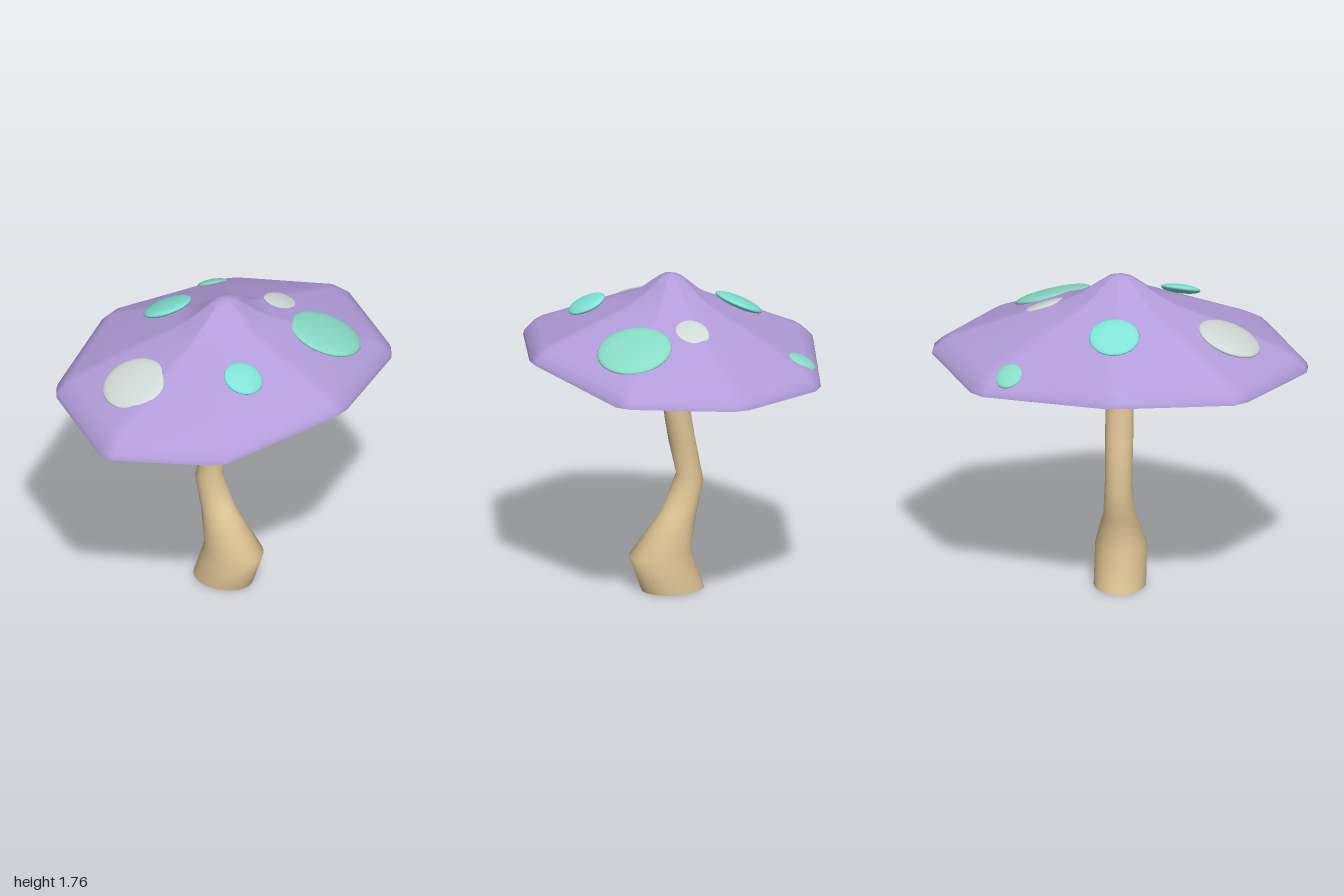
import * as THREE from 'three';

const mat = (color) => new THREE.MeshStandardMaterial({ color, roughness: 0.8 });

// Skin a list of closed rings (ordered from the bottom up) with smooth normals
function loft(rings) {
  const n = rings[0].length, index = [];
  for (let i = 0; i < rings.length - 1; i++) {
    for (let j = 0; j < n; j++) {
      const k = (j + 1) % n;
      const a = i * n + j, b = i * n + k, c = a + n, d = b + n;
      index.push(a, c, b, b, c, d);
    }
  }
  const g = new THREE.BufferGeometry();
  g.setAttribute('position', new THREE.Float32BufferAttribute(rings.flat(2), 3));
  g.setIndex(index);
  g.computeVertexNormals();
  return g;
}

// Rim of the cap: eight corners, each bevelled into two points [x, y, z]
const MID = 1.285;
const corners = [
  [1.025, 1.29, 0.01], [0.72, 1.285, 0.585], [0, 1.355, 0.815], [-0.735, 1.285, 0.55],
  [-1.025, 1.25, -0.01], [-0.705, 1.268, -0.605], [0, 1.3, -0.818], [0.735, 1.26, -0.56],
];
const rim = corners.flatMap((c, i) => {
  const v = new THREE.Vector3(...c);
  return [corners[(i + 7) % 8], corners[(i + 1) % 8]].map((o) => {
    const dir = new THREE.Vector3(...o).sub(v).setY(0).normalize();
    return v.clone().addScaledVector(dir, 0.05).toArray();
  });
});

// A scaled copy of the rim at height y; the rim's waviness fades to the centre
const capRing = ([s, y]) => rim.map(([x, ry, z]) => [x * s, y + (ry - MID) * s * s, z * s]);

// The underside hangs lower in one swelling behind the stem
const underRing = (r) => capRing(r).map(([x, y, z]) =>
  [x, y - 0.045 * Math.exp(-(x * x + (z + 0.28) ** 2) / 0.025), z]);

// Stem: rings of [y, z centre, x radius, z radius, tilt]
const stemRings = [
  [0, -0.008, 0.14, 0.172, 0], [0.21, 0.065, 0.138, 0.17, -0.07],
  [0.42, -0.045, 0.085, 0.092, 0.18], [0.612, -0.107, 0.073, 0.073, 0.3],
  [0.83, -0.06, 0.075, 0.07, -0.15], [1.07, -0.02, 0.076, 0.07, -0.1],
  [1.36, -0.012, 0.076, 0.073, 0],
];
const SIDES = 28;
const stemRing = ([y, zc, rx, rz, tilt]) => Array.from({ length: SIDES }, (_, j) => {
  const a = (j / SIDES) * Math.PI * 2, dz = Math.sin(a) * rz;
  return [Math.cos(a) * rx, y + dz * tilt, zc + dz];
});

export function createModel() {
  const group = new THREE.Group();
  const add = (name, geometry, material, parent = group) => {
    const m = new THREE.Mesh(geometry, material);
    m.name = name;
    parent.add(m);
    return m;
  };
  const stemMat = mat(0xdfc595), capMat = mat(0xb39ddb);

  // Bent stem with a flat base
  add('stem', loft(stemRings.map(stemRing)), stemMat);
  const base = add('stemBase', new THREE.CircleGeometry(1, SIDES), stemMat);
  base.rotation.x = Math.PI / 2;
  base.scale.set(0.14, 0.172, 1);
  base.position.z = -0.008;

  // Cap: pointed top with a bevelled edge, shallow hollow underside
  const cap = new THREE.Group();
  cap.name = 'cap';
  group.add(cap);
  add('capTop', loft([
    [1, MID], [0.992, 1.312], [0.95, 1.352], [0.9, 1.38], [0.7, 1.458], [0.5, 1.534],
    [0.3, 1.602], [0.2, 1.655], [0.12, 1.712], [0.07, 1.745], [0.03, 1.756], [0.001, 1.757],
  ].map(capRing)), capMat, cap);
  add('capUnderside', loft([
    [0.001, 1.315], [0.12, 1.312], [0.22, 1.295], [0.34, 1.29], [0.5, 1.295], [0.7, 1.285],
    [0.92, 1.275], [1, MID],
  ].map(underRing)), capMat, cap);

  // Flattened spots lying on the cap: centre, surface normal, radii
  const teal = mat(0x80e3d6), green = mat(0x88dcc6), grey = mat(0xd0dad6);
  const spots = [
    ['backSpot', teal, [0, 1.55, -0.39], [0, 1, -0.46], 0.135, 0.135],
    ['smallEdgeSpot', green, [0.553, 1.364, -0.525], [0.3, 1, -0.5], 0.076, 0.085],
    ['rightSpot', grey, [-0.595, 1.463, -0.135], [-0.4, 1, -0.08], 0.176, 0.18],
    ['frontSpot', teal, [-0.295, 1.547, 0.365], [-0.1, 1, 0.42], 0.106, 0.107],
    ['leftSpot', grey, [0.408, 1.532, 0.085], [0.36, 1, 0.32], 0.138, 0.125],
    ['largeFrontSpot', green, [0.39, 1.488, 0.375], [0.26, 1, 0.27], 0.205, 0.2],
  ];
  const ball = new THREE.SphereGeometry(1, 32, 16);
  const up = new THREE.Vector3(0, 1, 0);
  for (const [name, material, pos, normal, rx, rz] of spots) {
    const m = add(name, ball, material, cap);
    m.position.set(...pos);
    m.quaternion.setFromUnitVectors(up, new THREE.Vector3(...normal).normalize());
    m.scale.set(rx, 0.014 + rx * 0.1, rz);
  }
  return group;
}
